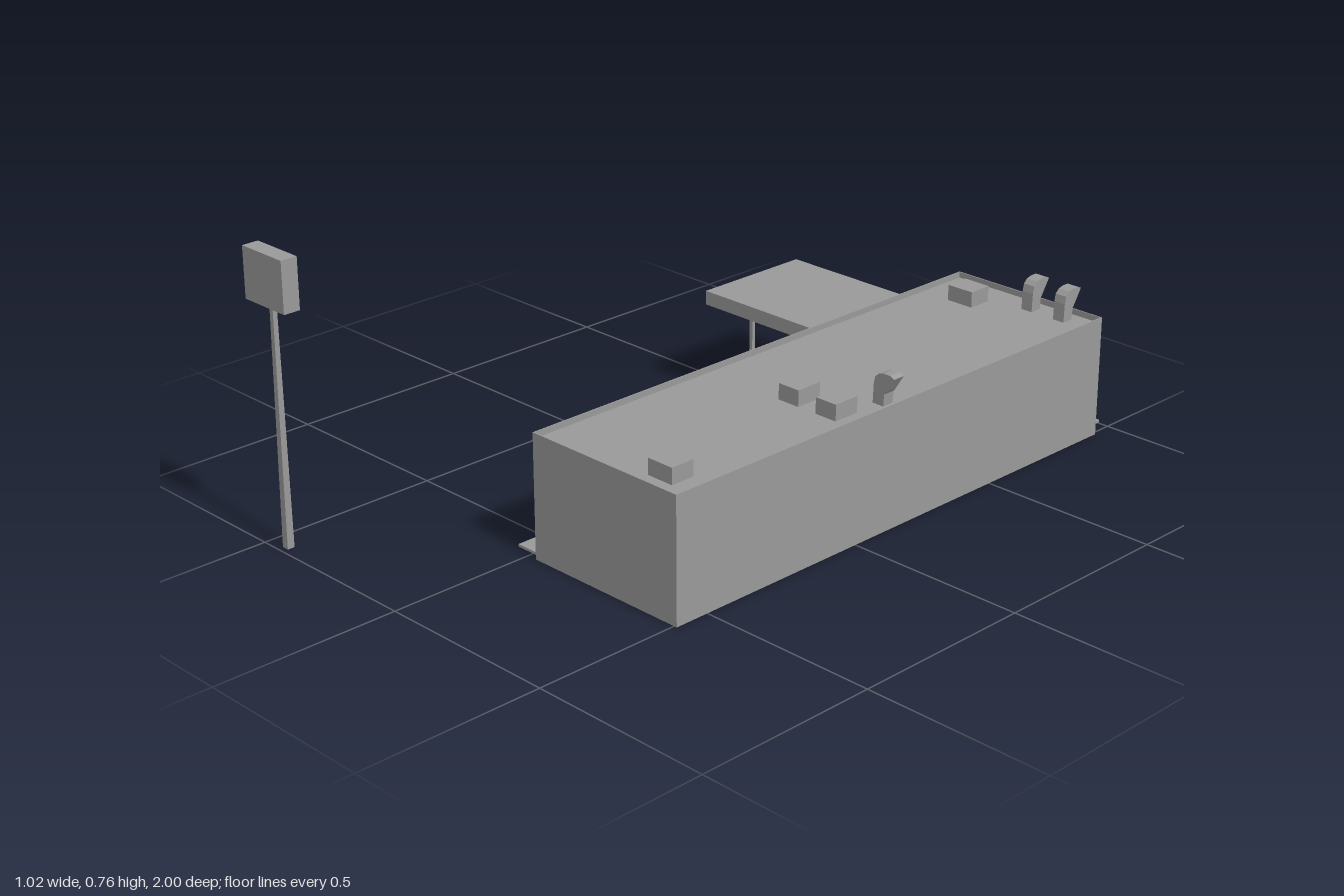
import * as THREE from 'three';

const material = new THREE.MeshStandardMaterial({ color: 0x9a9a9a, flatShading: true, side: THREE.DoubleSide });

export function createModel() {
  const model = new THREE.Group();

  const add = (name, geometry) => {
    const mesh = new THREE.Mesh(geometry, material);
    mesh.name = name;
    model.add(mesh);
    return mesh;
  };
  // box from its minimum and maximum corners
  const box = (name, x0, x1, y0, y1, z0, z1) => {
    const mesh = add(name, new THREE.BoxGeometry(x1 - x0, y1 - y0, z1 - z0));
    mesh.position.set((x0 + x1) / 2, (y0 + y1) / 2, (z0 + z1) / 2);
  };
  const outline = (points, Type = THREE.Shape) => new Type(points.map(([x, y]) => new THREE.Vector2(x, y)));
  const prism = (shape, depth) => new THREE.ExtrudeGeometry(shape, { depth, bevelEnabled: false });
  // plan drawn in x and -z, raised from y0 to y1
  const plan = (shape, y0, y1) => prism(shape, y1 - y0).rotateX(-Math.PI / 2).translate(0, y0, 0);

  // Building: thin walls open underneath, with a sunken roof behind a parapet
  const t = 0.003;
  const rect = (x0, x1, z0, z1) => [[x0, -z1], [x1, -z1], [x1, -z0], [x0, -z0]];
  const walls = outline(rect(0.028, 0.509, -0.935, 0.597));
  walls.holes.push(outline(rect(0.028 + t, 0.509 - t, -0.935 + t, 0.597 - t), THREE.Path));
  add('buildingWalls', plan(walls, 0, 0.33));
  box('roof', 0.03, 0.507, 0.31, 0.314, -0.933, 0.595);

  // L-shaped pavement along the left and back walls
  add('pavement', plan(outline([
    [-0.048, -0.585], [0.028, -0.585], [0.028, 0.935], [0.472, 0.935], [0.472, 1], [-0.048, 1],
  ]), 0.003, 0.01));

  // Rooftop units
  for (const [x0, x1, z0, z1] of [
    [0.12, 0.2, -0.848, -0.78],
    [0.27, 0.335, -0.053, 0.022],
    [0.392, 0.457, -0.053, 0.022],
    [0.364, 0.442, 0.478, 0.545],
  ]) box('rooftopUnit', x0, x1, 0.314, 0.357, z0, z1);

  // Gooseneck vents, bending towards +x in their own frame
  const ventProfile = outline([
    [0, 0], [0.034, 0], [0.036, 0.032], [0.041, 0.038], [0.067, 0.079],
    [0.054, 0.085], [0.034, 0.085], [0.018, 0.081], [0.006, 0.07], [0.002, 0.05],
  ]);
  const ventGeometry = prism(ventProfile, 0.034).translate(0, 0, -0.017);
  for (const [x, z, turn] of [
    [0.442, -0.142, 0],
    [0.315, -0.867, Math.PI / 2],
    [0.42, -0.867, Math.PI / 2],
  ]) {
    const vent = add('roofVent', ventGeometry);
    vent.position.set(x, 0.314, z);
    vent.rotation.y = turn;
  }

  // Meter box on the back wall
  box('meterBox', 0.233, 0.266, 0.072, 0.155, -0.959, -0.93);

  // Forecourt canopy, island, posts and pumps
  box('canopy', -0.422, 0.03, 0.252, 0.291, -0.768, -0.415);
  box('pumpIsland', -0.296, -0.239, 0.003, 0.01, -0.763, -0.42);
  for (const z of [-0.75, -0.435]) box('canopyPost', -0.272, -0.261, 0.01, 0.252, z - 0.005, z + 0.005);
  const pumpProfile = outline([
    [-0.012, 0], [0.012, 0], [0.0145, 0.064], [0.018, 0.089],
    [0.018, 0.098], [-0.018, 0.098], [-0.018, 0.089], [-0.0145, 0.064],
  ]);
  for (const z of [-0.655, -0.512]) {
    add('fuelPump', prism(pumpProfile, 0.048).translate(0, 0, -0.024)).position.set(-0.267, 0.009, z);
  }

  // Roadside sign on a square tapered pole
  const pole = new THREE.CylinderGeometry(0.0085, 0.014, 0.625, 4).rotateY(Math.PI / 4);
  add('signPole', pole).position.set(-0.435, 0.3145, 0.977);
  box('signBoard', -0.51, -0.361, 0.625, 0.757, 0.955, 1);

  return model;
}
